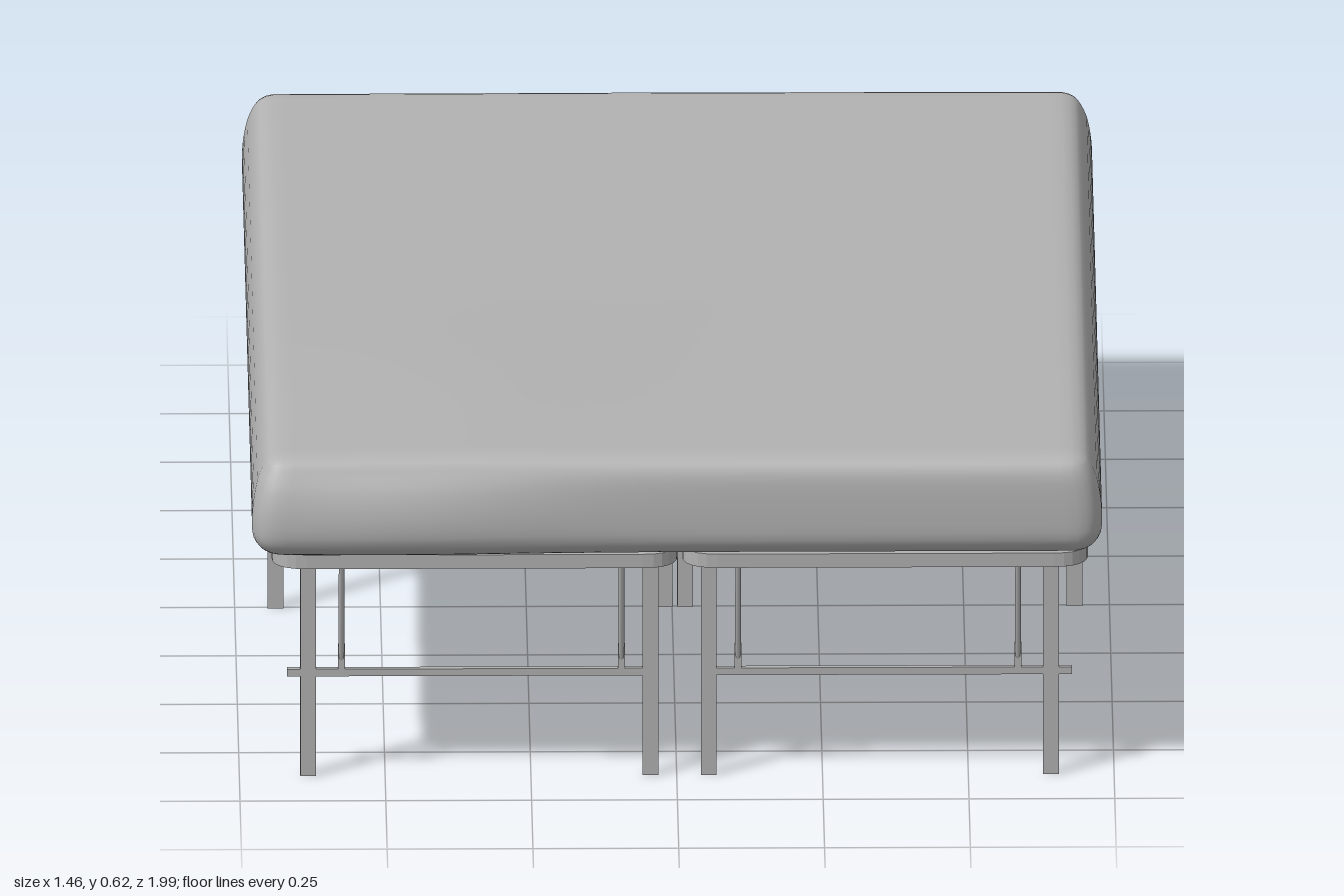
import * as THREE from 'three';
import { mergeVertices } from 'three/addons/utils/BufferGeometryUtils.js';

const gray = new THREE.MeshStandardMaterial({ color: 0xb2b2b2 });
gray.name = 'plain gray';

function add(parent, geometry, name, x = 0, y = 0, z = 0) {
  const mesh = new THREE.Mesh(geometry, gray);
  mesh.name = name;
  mesh.position.set(x, y, z);
  parent.add(mesh);
  return mesh;
}

// Straight round rod between two points
function rod(parent, a, b, r, name) {
  const from = new THREE.Vector3(...a), to = new THREE.Vector3(...b);
  const dir = to.clone().sub(from);
  const mesh = add(parent, new THREE.CylinderGeometry(r, r, dir.length(), 8), name);
  mesh.position.copy(from).addScaledVector(dir, 0.5);
  mesh.quaternion.setFromUnitVectors(new THREE.Vector3(0, 1, 0), dir.normalize());
}

// Soft cushion: a dense box with rounded edges, a lower bulge and shallow wrinkles
function mattressGeometry() {
  const hx = 0.715, hy = 0.089, hz = 0.965, r = 0.042;
  const g = new THREE.BoxGeometry(2, 2, 2, 40, 14, 48);
  const p = g.attributes.position;
  const v = new THREE.Vector3(), core = new THREE.Vector3();
  const dense = (t, k) => Math.sign(t) * (1 - Math.pow(1 - Math.abs(t), k));
  const bump = (x, z, cx, cz, sx, sz) => Math.exp(-(((x - cx) / sx) ** 2) - ((z - cz) / sz) ** 2);
  for (let i = 0; i < p.count; i++) {
    v.set(dense(p.getX(i), 1.8) * hx, dense(p.getY(i), 1.2) * hy, dense(p.getZ(i), 1.8) * hz);
    core.set(
      THREE.MathUtils.clamp(v.x, -hx + r, hx - r),
      THREE.MathUtils.clamp(v.y, -hy + r, hy - r),
      THREE.MathUtils.clamp(v.z, -hz + r, hz - r));
    v.sub(core).normalize().multiplyScalar(r).add(core);
    const { x, y, z } = v;
    const low = Math.max(0, 1 - ((y + 0.03) / 0.09) ** 2);
    const top = THREE.MathUtils.clamp(y / hy, 0, 1);
    v.x += (x / hx) ** 3 * 0.014 * low;
    v.z += (z / hz) ** 5 * 0.006 * low;
    if (z > 0) v.z += (z / hz) ** 8 * 0.024 * low * Math.exp(-(((x + 0.5) / 0.28) ** 2));
    else v.z -= (z / hz) ** 8 * (0.012 + 0.014 * Math.exp(-(((x - 0.5) / 0.25) ** 2))) * low;
    v.y += top * (0.012 * bump(x, z, -0.38, 0.55, 0.3, 0.35)
      - 0.005 * bump(x + z * 0.6, z, 0.25, 0.3, 0.12, 0.35)
      + 0.004 * bump(x, z, 0, 0, 0.6, 0.8));
    p.setXYZ(i, v.x, v.y, v.z);
  }
  g.deleteAttribute('normal');
  g.deleteAttribute('uv');
  const smooth = mergeVertices(g, 1e-5);
  smooth.computeVertexNormals();
  return smooth;
}

// Quarter outline in plan, rounded at the bed's end; s mirrors x, e mirrors z
function quarterPath(target, s, e, inset, radius) {
  const x0 = 0.005 + s * (0.004 + inset), x1 = 0.005 + s * (0.7 - inset);
  const z0 = e * (0.005 + inset), z1 = e * (0.942 - inset);
  target.moveTo(x0, z0);
  target.lineTo(x1, z0);
  target.lineTo(x1, z1 - e * radius);
  target.quadraticCurveTo(x1, z1, x1 - s * radius, z1);
  target.lineTo(x0 + s * radius, z1);
  target.quadraticCurveTo(x0, z1, x0, z1 - e * radius);
  target.closePath();
  return target;
}

function quarterFrame(s, e) {
  const shape = quarterPath(new THREE.Shape(), s, e, 0, 0.06);
  shape.holes.push(quarterPath(new THREE.Path(), s, e, 0.02, 0.042));
  const g = new THREE.ExtrudeGeometry(shape, { depth: 0.025, bevelEnabled: false, curveSegments: 6 });
  g.rotateX(Math.PI / 2);
  return g;
}

export function createModel() {
  const model = new THREE.Group();
  model.name = 'bed';
  add(model, mattressGeometry(), 'mattress', 0, 0.516, 0);

  const leg = new THREE.BoxGeometry(0.027, 0.41, 0.011);
  const X = (s, d) => 0.005 + s * d;

  for (const s of [-1, 1]) {
    // Middle legs
    for (const d of [0.0175, 0.685]) add(model, leg, 'middleLeg', X(s, d), 0.205, 0);

    for (const e of [-1, 1]) {
      const quarter = new THREE.Group();
      quarter.name = 'frameQuarter';
      model.add(quarter);
      add(quarter, quarterFrame(s, e), 'frameRail', 0, 0.426, 0);

      // End legs with their low crossbar
      for (const d of [0.05, 0.637]) add(quarter, leg, 'endLeg', X(s, d), 0.205, e * 0.867);
      add(quarter, new THREE.BoxGeometry(0.636, 0.013, 0.011), 'legCrossbar', X(s, 0.355), 0.188, e * 0.867);

      // Slanted braces with a hooked foot
      for (const d of [0.1, 0.58]) {
        rod(quarter, [X(s, d), 0.21, e * 0.868], [X(s, d), 0.41, e * 0.932], 0.005, 'brace');
        add(quarter, new THREE.BoxGeometry(0.012, 0.045, 0.01), 'braceFoot', X(s, d), 0.215, e * 0.868);
      }

      // Tubes that carry the sleeping surface
      for (const z of [0.45, 0.867])
        rod(quarter, [X(s, 0.015), 0.409, e * z], [X(s, 0.69), 0.409, e * z], 0.009, 'supportTube');

      // Thin wires under the mattress
      for (let i = 1; i <= 10; i++)
        rod(quarter, [X(s, 0.01), 0.423, e * i * 0.085], [X(s, 0.695), 0.423, e * i * 0.085], 0.003, 'supportWire');
    }
  }
  return model;
}
